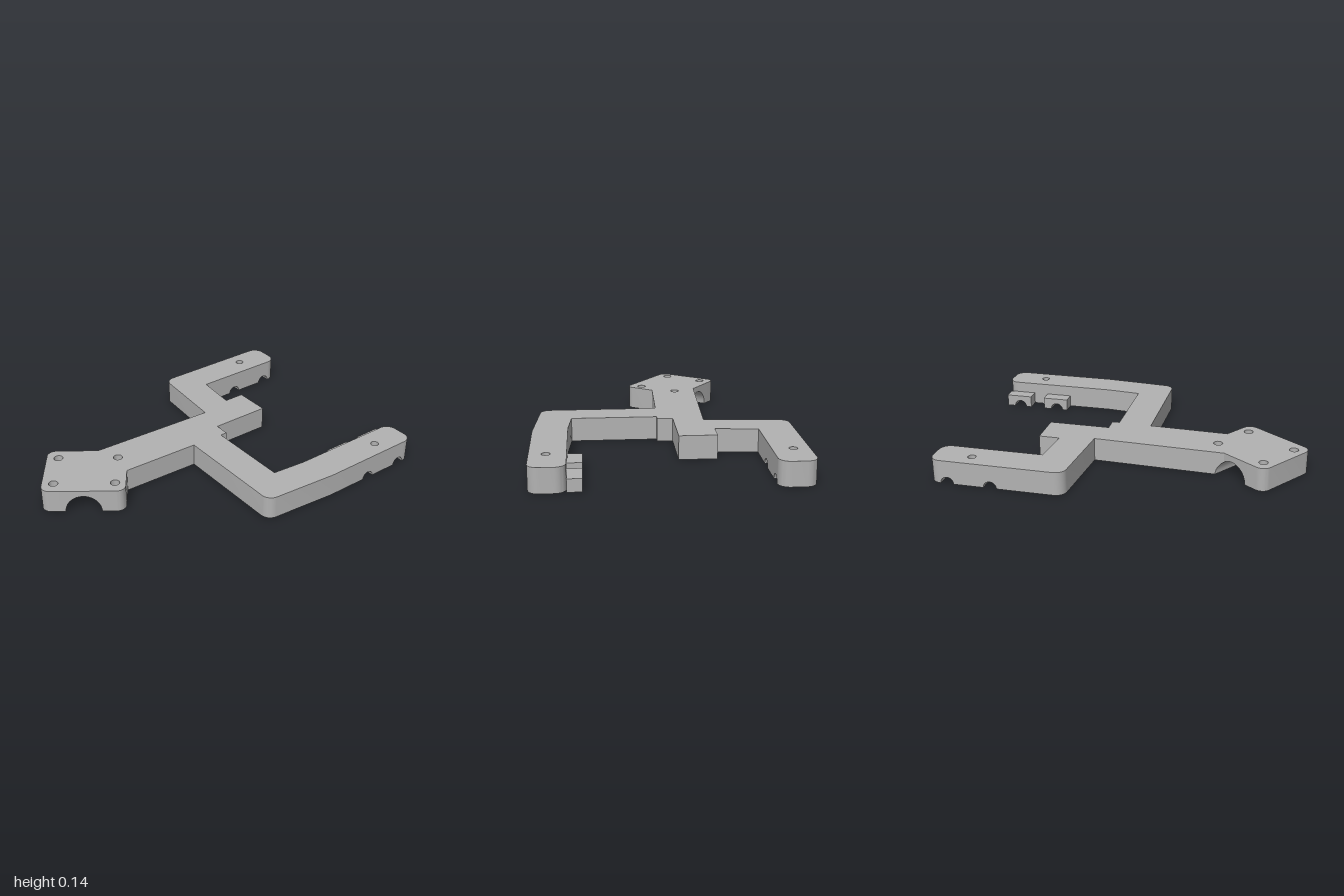
import * as THREE from 'three';
import { toCreasedNormals } from 'three/addons/utils/BufferGeometryUtils.js';

const V = (x, z) => new THREE.Vector2(x, z);   // plan point: (x, z)

// Plan outline from [x, z, cornerRadius] entries, with the marked corners rounded
function outline(corners) {
  const out = [];
  corners.forEach(([x, z, r], i) => {
    const p = V(x, z);
    if (!r) { out.push(p); return; }
    const n = corners.length, pr = corners[(i + n - 1) % n], nx = corners[(i + 1) % n];
    const a = V(pr[0], pr[1]).sub(p).normalize(), b = V(nx[0], nx[1]).sub(p).normalize();
    const half = Math.acos(a.dot(b)) / 2, d = r / Math.tan(half);
    const c = a.clone().add(b).setLength(r / Math.sin(half)).add(p);
    const s = a.multiplyScalar(d).add(p).sub(c), e = b.multiplyScalar(d).add(p).sub(c);
    let sweep = e.angle() - s.angle();
    if (sweep > Math.PI) sweep -= 2 * Math.PI;
    if (sweep < -Math.PI) sweep += 2 * Math.PI;
    for (let k = 0; k <= 10; k++) {
      const t = s.angle() + sweep * k / 10;
      out.push(V(c.x + r * Math.cos(t), c.y + r * Math.sin(t)));
    }
  });
  return THREE.ShapeUtils.area(out) < 0 ? out.reverse() : out;
}

// Keep the part of a polygon where dir . p >= c (or <= c when sign is -1)
function clip(poly, dir, c, sign = 1) {
  const out = [], f = p => sign * (dir.dot(p) - c);
  poly.forEach((p, i) => {
    const q = poly[(i + 1) % poly.length], fp = f(p), fq = f(q);
    if (fp >= -1e-9) out.push(p);
    if ((fp > 1e-9 && fq < -1e-9) || (fp < -1e-9 && fq > 1e-9)) out.push(p.clone().lerp(q, fp / (fp - fq)));
  });
  return out;
}

// Add outline points wherever an edge crosses the line dir . p = c
function split(poly, dir, c) {
  return poly.flatMap((p, i) => {
    const q = poly[(i + 1) % poly.length], fp = dir.dot(p) - c, fq = dir.dot(q) - c;
    return fp * fq < 0 && Math.min(Math.abs(fp), Math.abs(fq)) > 1e-9 ? [p, p.clone().lerp(q, fp / (fp - fq))] : [p];
  });
}

// Flat plate with vertical holes and half-round grooves cut along its underside
function plate(corners, height, grooves, holes) {
  const STEPS = 18, pos = [];
  const tri = (...pts) => pts.forEach(p => pos.push(p[0], p[1], p[2]));
  const floor = p => Math.max(0, ...grooves.map(g => Math.sqrt(Math.max(0, g.r ** 2 - (g.dir.dot(p) - g.c) ** 2))));
  const rings = holes.map(([x, z, r]) => Array.from({ length: 24 }, (_, i) => {
    const t = -i / 24 * 2 * Math.PI;
    return V(x + r * Math.cos(t), z + r * Math.sin(t));
  }));
  const lines = g => Array.from({ length: STEPS + 1 }, (_, i) => g.c - g.r * Math.cos(i / STEPS * Math.PI));

  const cap = (poly, inner, y, up) => {
    if (poly.length < 3) return;
    const pts = [...poly, ...inner.flat()];
    for (const [i, j, k] of THREE.ShapeUtils.triangulateShape(poly, inner)) {
      const area = THREE.ShapeUtils.area([pts[i], pts[j], pts[k]]);
      if (Math.abs(area) < 1e-9) continue;
      const order = (area > 0) !== up ? [i, j, k] : [i, k, j];
      tri(...order.map(n => [pts[n].x, y(pts[n]), pts[n].y]));
    }
  };
  const wall = ring => ring.forEach((a, i) => {
    const b = ring[(i + 1) % ring.length];
    const A = [a.x, floor(a), a.y], B = [b.x, floor(b), b.y], C = [b.x, height, b.y], D = [a.x, height, a.y];
    tri(A, D, C); tri(A, C, B);
  });

  // Top and sides
  let contour = outline(corners);
  for (const g of grooves) for (const c of lines(g)) contour = split(contour, g.dir, c);
  cap([...contour], rings, () => height, true);
  wall(contour);
  rings.forEach(wall);

  // Underside: groove linings in narrow slices, flat regions in between
  const across = V(1, 0);
  let regions = [clip(contour, across, -0.05, -1), clip(contour, across, -0.05)];
  for (const g of grooves) {
    const ls = lines(g), next = [];
    for (const reg of regions) {
      for (let i = 0; i < STEPS; i++) cap(clip(clip(reg, g.dir, ls[i]), g.dir, ls[i + 1], -1), [], floor, false);
      next.push(clip(reg, g.dir, ls[0], -1), clip(reg, g.dir, ls[STEPS]));
    }
    regions = next.filter(p => p.length > 2);
  }
  const inside = (p, poly) => poly.reduce((odd, a, i) => {
    const b = poly[(i + 1) % poly.length];
    const hit = (a.y > p.y) !== (b.y > p.y) && p.x < a.x + (b.x - a.x) * (p.y - a.y) / (b.y - a.y);
    return hit ? !odd : odd;
  }, false);
  for (const reg of regions) {
    cap(reg, rings.filter((_, i) => inside(V(holes[i][0], holes[i][1]), reg)), () => 0, false);
  }

  const geo = new THREE.BufferGeometry();
  geo.setAttribute('position', new THREE.Float32BufferAttribute(pos, 3));
  return toCreasedNormals(geo, 0.5);
}

export function createModel() {
  const group = new THREE.Group();
  const grey = new THREE.MeshStandardMaterial({ color: 0xb2b2b2 });
  grey.name = 'plain grey';
  const add = (name, geo) => {
    const mesh = new THREE.Mesh(geo, grey);
    mesh.name = name;
    group.add(mesh);
  };

  // Cross grooves under the arm ends, and the large slanted groove under the foot
  const along = V(0, 1);
  const armGrooves = [-0.652, -0.9].map(c => ({ dir: along, c, r: 0.038 }));
  const footGroove = { dir: V(0.573, -0.82), c: -0.67, r: 0.1 };

  // Forked bracket: left and right here as seen from above
  add('bracket', plate([
    [-0.725, -1, 0.06], [-0.525, -1, 0.06], [-0.525, -0.416],               // arm at -x
    [-0.285, -0.394], [-0.285, -0.516], [-0.072, -0.516], [-0.072, -0.16],  // rear block
    [0.017, -0.16], [0.017, -0.118], [0.507, -0.118],
    [0.525, -0.32], [0.525, -1, 0.06], [0.718, -1, 0.06], [0.72, -0.365],   // arm at +x
    [0.686, 0.075, 0.06], [0.01, 0.075], [-0.003, 0.531],                   // neck
    [0.157, 0.643, 0.05], [-0.115, 1.02, 0.05], [-0.44, 0.79, 0.05],        // slanted foot
    [-0.273, 0.553], [-0.246, -0.198], [-0.725, -0.237, 0.06],
  ], 0.135, [footGroove, ...armGrooves], [
    [-0.638, -0.782, 0.023], [0.63, -0.782, 0.023],
    [-0.146, 0.5, 0.026], [0.057, 0.647, 0.026], [-0.342, 0.777, 0.026], [-0.139, 0.924, 0.026],
  ]));

  // Low tabs on the inside of the +x arm, arched over the same grooves
  [[-0.987, -0.828], [-0.738, -0.582]].forEach(([z0, z1], i) => {
    add(i ? 'frontTab' : 'rearTab',
      plate([[0.447, z0], [0.525, z0], [0.525, z1], [0.447, z1]], 0.07, armGrooves, []));
  });
  return group;
}
